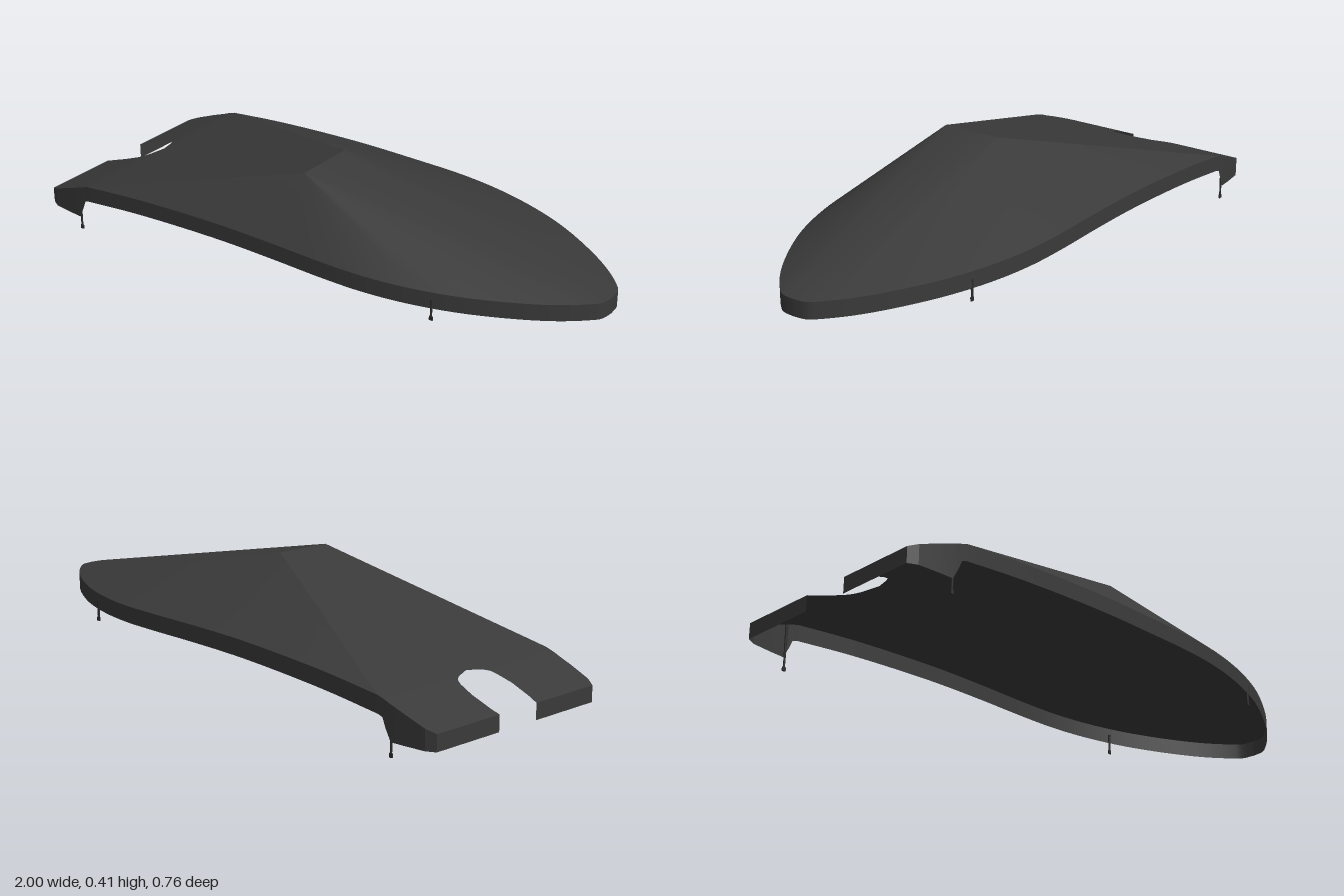
import * as THREE from 'three';
import { toCreasedNormals } from 'three/addons/utils/BufferGeometryUtils.js';

const V = (x, y, z) => new THREE.Vector3(x, y, z);

// Builds a creased sheet from a list of triangles
function sheet(name, tris, material) {
  const geo = new THREE.BufferGeometry().setFromPoints(tris);
  const mesh = new THREE.Mesh(toCreasedNormals(geo, 0.3), material);
  mesh.name = name;
  return mesh;
}

export function createModel() {
  const model = new THREE.Group();
  model.name = 'hullShell';
  const shell = new THREE.MeshStandardMaterial({ color: 0x3a3a3a, side: THREE.DoubleSide });
  shell.name = 'charcoal shell';
  const metal = new THREE.MeshStandardMaterial({ color: 0x2c2c2c });
  metal.name = 'dark pin';

  // Half of the rim: tail corner, then a curve to the nose
  const tail = [[-1, 0.1, 0.35], [-0.97, 0.112, 0.366], [-0.9, 0.139, 0.373],
    [-0.85, 0.157, 0.376], [-0.83, 0.165, 0.377], [-0.818, 0.169, 0.377], [-0.8, 0.175, 0.378]].map(p => V(...p));
  const side = new THREE.CatmullRomCurve3([[-0.8, 0.175, 0.378], [-0.6, 0.198, 0.378], [-0.4, 0.214, 0.378],
    [-0.2, 0.225, 0.378], [0, 0.229, 0.378], [0.2, 0.23, 0.378], [0.35, 0.228, 0.366], [0.5, 0.226, 0.335],
    [0.65, 0.224, 0.283], [0.8, 0.221, 0.205], [0.9, 0.219, 0.138], [0.97, 0.218, 0.075],
    [0.993, 0.217, 0.045], [1, 0.217, 0]].map(p => V(...p))).getPoints(56);
  // Half-width of the stern notch at each tail station
  const notch = [0.083, 0.088, 0.09, 0.081, 0.072, 0.055, 0];

  const rimBottom = p => {
    if (p.x <= -0.845) return 0.047;
    if (p.x < -0.825) return 0.085;
    return p.y - 0.055;
  };
  const ridgeBack = V(0, 0.405, 0), ridgeFront = V(0, 0.405, 0.205);
  const canopy = [], deck = [], skirt = [], transom = [];

  for (const s of [1, -1]) {
    const flip = p => V(p.x, p.y, p.z * s);
    const tri = (list, a, b, c) => (s > 0 ? list.push(a, b, c) : list.push(a, c, b));
    const quad = (list, a, b, c, d) => { tri(list, a, b, c); tri(list, a, c, d); };
    const low = p => V(p.x, rimBottom(p), p.z);

    // Canopy fan from the rim up to its end of the ridge
    const rim = side.map(flip);
    const tip = s > 0 ? ridgeFront : ridgeBack;
    for (let i = 0; i < rim.length - 1; i++) tri(canopy, tip, rim[i], rim[i + 1]);

    // Sloping tail deck beside the notch
    const outer = tail.map(flip);
    const inner = tail.map((p, i) => V(p.x, p.y, notch[i] * s));
    for (let i = 0; i < outer.length - 1; i++) quad(deck, inner[i], outer[i], outer[i + 1], inner[i + 1]);

    // Skirt hanging from the whole rim
    const edge = [...outer, ...rim.slice(1)];
    for (let i = 0; i < edge.length - 1; i++) {
      quad(skirt, edge[i], low(edge[i]), low(edge[i + 1]), edge[i + 1]);
    }
    // Stern wall
    quad(transom, inner[0], low(inner[0]), low(outer[0]), outer[0]);
  }

  // Ridge to nose and ridge to tail panels
  const nose = side[side.length - 1];
  const cornerL = tail[6], cornerR = V(cornerL.x, cornerL.y, -cornerL.z);
  canopy.push(ridgeBack, ridgeFront, nose);
  canopy.push(ridgeBack, cornerR, cornerL, ridgeBack, cornerL, ridgeFront);

  model.add(sheet('canopy', canopy, shell), sheet('tailDeck', deck, shell),
    sheet('skirt', skirt, shell), sheet('sternWall', transom, shell));

  // Small pins with thicker feet below the rim
  const pin = (name, x, z, bottom, top) => {
    const group = new THREE.Group();
    group.name = name;
    const rod = new THREE.Mesh(new THREE.CylinderGeometry(0.005, 0.003, top - bottom, 8), metal);
    rod.name = 'pinRod';
    rod.position.y = (top + bottom) / 2;
    const foot = new THREE.Mesh(new THREE.BoxGeometry(0.012, 0.013, 0.005), metal);
    foot.name = 'pinFoot';
    foot.position.y = bottom + 0.0065;
    group.add(rod, foot);
    group.position.set(x, 0, z);
    model.add(group);
  };
  for (const s of [1, -1]) {
    pin('rearPin', -0.848, 0.371 * s, 0, 0.155);
    pin('frontPin', 0.565, 0.312 * s, 0.128, 0.2);
  }
  return model;
}
